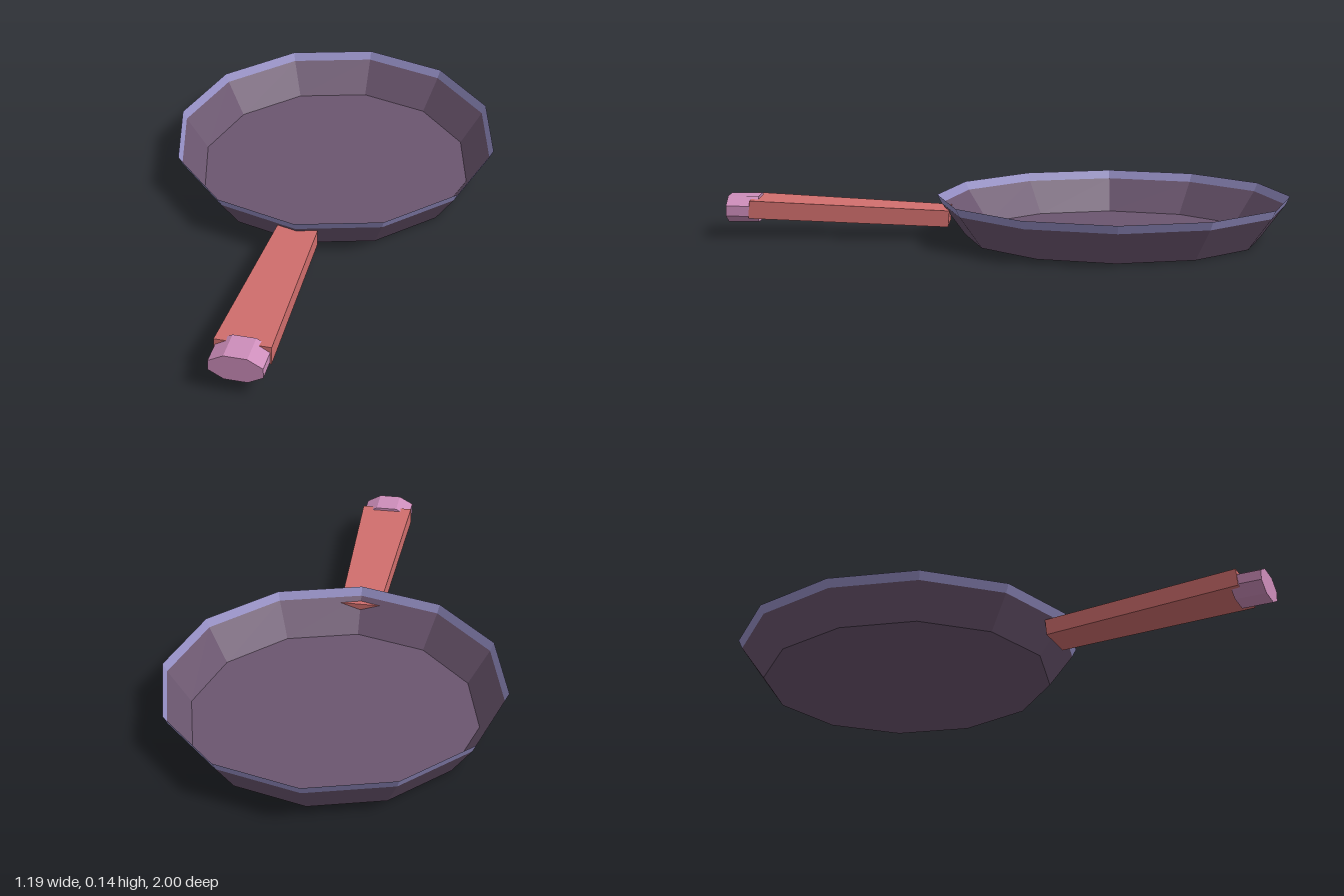
import * as THREE from 'three';

const flat = (name, color, extra = {}) =>
  Object.assign(new THREE.MeshStandardMaterial({ color, flatShading: true, ...extra }), { name });

export function createModel() {
  const group = new THREE.Group();
  const panMat = flat('dark plum', 0x6b566f, { side: THREE.DoubleSide });
  const rimMat = flat('lavender', 0x9690c6, { side: THREE.DoubleSide });
  const gripMat = flat('coral', 0xd06e6d);
  const capMat = flat('pink', 0xcd8dba);

  const add = (name, geometry, material) => {
    const mesh = new THREE.Mesh(geometry, material);
    mesh.name = name;
    group.add(mesh);
    return mesh;
  };

  // Twelve-sided open sheet, slightly narrower across than it is long
  const ring = (...profile) =>
    new THREE.LatheGeometry(profile.map(([r, y]) => new THREE.Vector2(r, y)), 12)
      .scale(0.946, 1, 1)
      .translate(0, 0, -0.372);

  // Pan: floor, sloping wall and coloured rim band
  add('panFloor', ring([0, 0], [0.528, 0]), panMat);
  add('panWall', ring([0.528, 0], [0.613, 0.115]), panMat);
  add('panRim', ring([0.613, 0.115], [0.628, 0.145]), rimMat);

  // Handle: bar that widens and rises towards its free end
  const bar = new THREE.BoxGeometry(2, 1, 1);
  const p = bar.attributes.position;
  for (let i = 0; i < p.count; i++) {
    const end = p.getZ(i) > 0;
    const top = p.getY(i) > 0;
    const y = end ? (top ? 0.134 : 0.071) : (top ? 0.098 : 0.04);
    const z = (end ? 0.915 : 0.208) + (top ? 0 : 0.005);
    p.setXYZ(i, p.getX(i) * (end ? 0.095 : 0.072), y, z);
  }
  bar.computeVertexNormals();
  add('handle', bar, gripMat);

  // Handle end cap: flattened octagonal prism
  const half = [[0.09, 0.078], [0.09, 0.114], [0.039, 0.142]];
  const outline = [[0.039, 0.05], ...half];
  const mirrored = outline.map(([x, y]) => [-x, y]).reverse();
  const shape = new THREE.Shape([...outline, ...mirrored].map(([x, y]) => new THREE.Vector2(x, y)));
  const cap = new THREE.ExtrudeGeometry(shape, { depth: 0.11, bevelEnabled: false });
  add('handleCap', cap, capMat).position.z = 0.89;

  return group;
}
